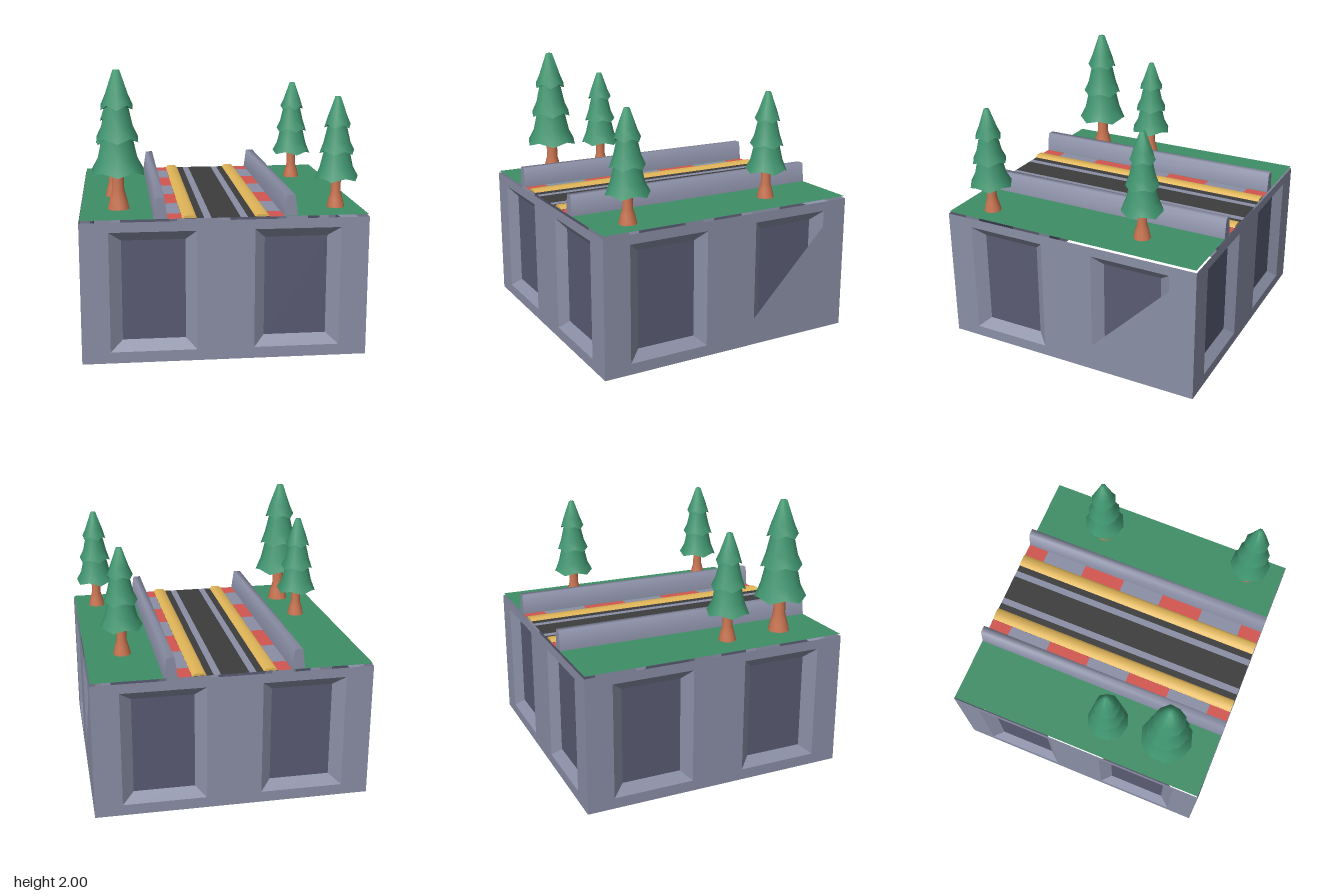
import * as THREE from 'three';
import { toCreasedNormals } from 'three/addons/utils/BufferGeometryUtils.js';

const mat = (name, color, side = THREE.DoubleSide) => {
  const m = new THREE.MeshStandardMaterial({ color, side });
  m.name = name;
  return m;
};

export function createModel() {
  const model = new THREE.Group();
  model.name = 'racetrackBlock';
  const concrete = mat('concrete', 0x8b8fa6);
  const panelGrey = mat('panelGrey', 0x5a5b73);
  const grass = mat('grass', 0x3f8e67);
  const red = mat('kerbRed', 0xd2554f);
  const yellow = mat('kerbYellow', 0xe0b558);
  const asphalt = mat('asphalt', 0x3c3c3c);
  const bark = mat('bark', 0xc97350);
  const needles = mat('needles', 0x409670);
  const DECK = 1.016, HALF = 0.992, WALL = 0.997, RECESS = 0.937;

  const add = (parent, name, geometry, material) => {
    const mesh = new THREE.Mesh(geometry, material);
    mesh.name = name;
    parent.add(mesh);
    return mesh;
  };
  const polygon = (pts) => new THREE.Shape(pts.map(([x, y]) => new THREE.Vector2(x, y)));

  // Sloped frame between a rim on the wall face and the recessed panel
  const frameGeometry = (rim, panel) => {
    const g = new THREE.BufferGeometry(), pos = [];
    rim.forEach((a, i) => {
      const j = (i + 1) % rim.length;
      const A = [...a, WALL], B = [...rim[j], WALL];
      const C = [...panel[j], RECESS], D = [...panel[i], RECESS];
      pos.push(...A, ...B, ...C, ...A, ...C, ...D);
    });
    g.setAttribute('position', new THREE.Float32BufferAttribute(pos, 3));
    g.computeVertexNormals();
    return g;
  };

  // Hollow base: four walls, each with two recessed dark panels
  const rect = (x0, x1, y0, y1) => [[x0, y0], [x1, y0], [x1, y1], [x0, y1]];
  const bays = [
    { rim: rect(-0.8, -0.2, 0.08, 0.93), panel: rect(-0.715, -0.275, 0.15, 0.86) },
    { rim: rect(0.2, 0.8, 0.08, 0.93), panel: rect(0.275, 0.715, 0.15, 0.86) },
  ];
  // One bay is half covered by the wall face, along a diagonal
  const halfCovered = [[0.2, 0.2], [0.8, 0.81], [0.8, 0.93], [0.2, 0.93]];
  ['front', 'left', 'back', 'right'].forEach((side, i) => {
    const wall = new THREE.Group();
    wall.name = side + 'Wall';
    const shape = polygon(rect(-WALL, WALL, 0, 1));
    shape.holes = [bays[0].rim, side === 'left' ? halfCovered : bays[1].rim].map(polygon);
    add(wall, 'wallFace', new THREE.ShapeGeometry(shape), concrete).position.z = WALL;
    bays.forEach(({ rim, panel }) => {
      add(wall, 'panelFrame', frameGeometry(rim, panel), concrete);
      add(wall, 'wallPanel', new THREE.ShapeGeometry(polygon(panel)), panelGrey).position.z = RECESS;
    });
    wall.rotation.y = i * Math.PI / 2;
    model.add(wall);
  });

  // Flat strips that make up the deck
  const strip = (name, x0, x1, z0, z1, material) => {
    const g = new THREE.PlaneGeometry(x1 - x0, z1 - z0).rotateX(-Math.PI / 2);
    add(model, name, g, material).position.set((x0 + x1) / 2, DECK, (z0 + z1) / 2);
  };
  const mirrored = (name, a, b, z0, z1, material) => {
    strip(name, a, b, z0, z1, material);
    strip(name, -b, -a, z0, z1, material);
  };
  strip('roadCentre', -0.1, 0.1, -HALF, HALF, asphalt);
  mirrored('laneLine', 0.1, 0.15, -HALF, HALF, concrete);
  mirrored('roadEdge', 0.15, 0.3, -HALF, HALF, asphalt);
  mirrored('grassVerge', 0.4, HALF, -HALF, HALF, grass);
  const cuts = [-HALF, -0.83, -0.5, -0.165, 0.165, 0.5, 0.83, HALF];
  for (let i = 0; i < 7; i++) {
    mirrored('kerbStripe', 0.3, 0.4, cuts[i], cuts[i + 1], i % 2 ? concrete : red);
  }

  // Barriers and yellow kerbs: softly shaded trapezoid bars along the road
  const bar = (name, x, base, top, height, material) => {
    const shape = polygon([[-base, 0], [base, 0], [top, height], [-top, height]]);
    const g = new THREE.ExtrudeGeometry(shape, { depth: 2 * HALF, bevelEnabled: false });
    add(model, name, toCreasedNormals(g, 1.5), material).position.set(x, DECK + 0.002, -HALF);
  };
  for (const s of [-1, 1]) {
    bar('barrier', s * 0.447, 0.048, 0.028, 0.144, concrete);
    bar('yellowKerb', s * 0.25, 0.05, 0.03, 0.017, yellow);
  }

  // Conifers: flared trunk and three skirts with a zigzag rim
  const lathe = (pts, sides) =>
    new THREE.LatheGeometry(pts.map(([r, y]) => new THREE.Vector2(r, y)), sides);
  const skirt = (pts) => {
    const g = lathe(pts, 10), p = g.attributes.position;
    for (let i = 0; i <= 10; i++) {
      const rim = i * pts.length + 1;
      p.setY(rim, p.getY(rim) + (i % 2 ? 0.013 : -0.013));
    }
    return toCreasedNormals(g, 1.4);
  };
  const trunk = lathe([[0, 0], [0.064, 0], [0.05, 0.06], [0.036, 0.11], [0.034, 0.26]], 10);
  const skirts = [
    [[0, 0.24], [0.154, 0.212], [0.118, 0.29], [0.09, 0.41]],
    [[0, 0.42], [0.123, 0.398], [0.094, 0.47], [0.066, 0.59]],
    [[0, 0.6], [0.093, 0.582], [0.068, 0.65], [0.02, 0.787], [0, 0.79]],
  ].map(skirt);
  const trunkGeometry = toCreasedNormals(trunk, 0.8);
  const trees = [[-0.725, 0.63, 1.24], [-0.757, 0.182, 1], [0.723, -0.465, 1], [0.818, 0.725, 1]];
  trees.forEach(([x, z, s], i) => {
    const tree = new THREE.Group();
    tree.name = 'tree' + (i + 1);
    add(tree, 'trunk', trunkGeometry, bark);
    skirts.forEach((g) => add(tree, 'foliage', g, needles));
    tree.position.set(x, DECK, z);
    tree.scale.setScalar(s);
    tree.rotation.y = i * 0.7;
    model.add(tree);
  });

  return model;
}
